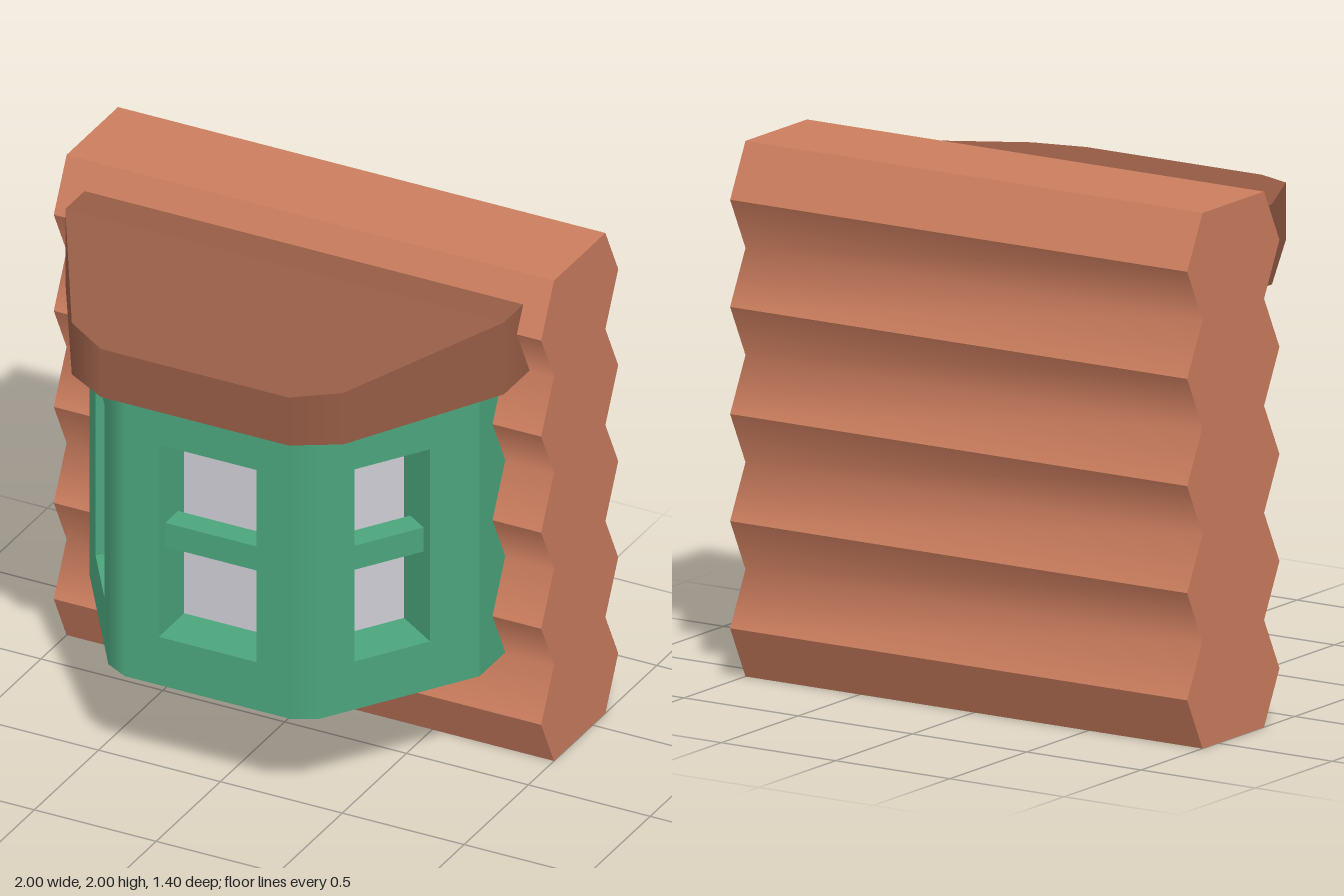
import * as THREE from 'three';

const mat = (name, color) => {
  const m = new THREE.MeshStandardMaterial({ color });
  m.name = name;
  return m;
};

// surface made of two matching rows of points, a[i] below/right of b[i]
function strip(a, b, normals) {
  const pos = [], idx = [], nor = [];
  a.forEach((p, i) => {
    pos.push(...p, ...b[i]);
    if (normals) nor.push(...normals[i], ...normals[i]);
    if (i) {
      const k = 2 * i;
      idx.push(k - 1, k - 2, k, k - 1, k, k + 1);
    }
  });
  const g = new THREE.BufferGeometry();
  g.setAttribute('position', new THREE.Float32BufferAttribute(pos, 3));
  g.setIndex(idx);
  if (normals) g.setAttribute('normal', new THREE.Float32BufferAttribute(nor, 3));
  else g.computeVertexNormals();
  return g;
}

// upright band along floor-plan points [x, z, nx, nz], listed from +x round the front to -x
function skirt(points, y0, topAt) {
  return strip(
    points.map(([x, z]) => [x, y0, z]).reverse(),
    points.map(([x, z]) => [x, topAt(z), z]).reverse(),
    points.map(([, , nx, nz]) => [nx, 0, nz]).reverse()
  );
}

const mirror = (points) => points.map(([x, z, nx, nz]) => [-x, z, -nx, nz]).reverse();
const planShape = (points) => new THREE.Shape(points.map(([x, z]) => new THREE.Vector2(x, z)));

export function createModel() {
  const model = new THREE.Group();
  const brick = mat('terracotta', 0xcb7d5e);
  const roofBrown = mat('roof brown', 0x965c45);
  const green = mat('bay green', 0x4ba57d);
  const glass = mat('pale glass', 0xcecdd4);

  const add = (parent, name, geo, material) => {
    const m = new THREE.Mesh(geo, material);
    m.name = name;
    parent.add(m);
    return m;
  };
  const group = (name, parent = model) => {
    const g = new THREE.Group();
    g.name = name;
    parent.add(g);
    return g;
  };

  // Ridged wall: creased ridges, soft valleys
  const wall = group('wall');
  const board = (name, profile) => add(wall, name, strip(
    profile.map(([y, z]) => [1, y, z]), profile.map(([y, z]) => [-1, y, z])), brick);
  const front = [], back = [];
  for (let i = 0; i <= 10; i++) {
    const out = i % 2 ? 0.1 : 0;
    front.push([i * 0.2, -0.2 + out]);
    back.push([i * 0.2, -0.6 - out]);
  }
  const cuts = [0, 1, 3, 5, 7, 9, 10];
  for (let i = 0; i < cuts.length - 1; i++) {
    const [lo, hi] = [cuts[i], cuts[i + 1] + 1];
    board('frontBoard', front.slice(lo, hi));
    board('backBoard', back.slice(lo, hi).reverse());
  }
  board('wallTop', [[2, -0.2], [2, -0.6]]);
  board('wallBottom', [[0, -0.6], [0, -0.2]]);
  const outline = [...front, ...[...back].reverse()];
  for (const s of [1, -1]) {
    const shape = new THREE.Shape(outline.map(([y, z]) => new THREE.Vector2(-s * z, y)));
    const end = new THREE.ShapeGeometry(shape);
    end.rotateY(s * Math.PI / 2).translate(s, 0, 0);
    add(wall, 'wallEnd', end, brick);
  }

  // Bay: three panels with recessed windows
  const bay = group('bay');
  function panel(name, x0, x1, halfWindow, hasBar) {
    const g = group(name, bay);
    const rect = (C, a, b, lo, hi) => new C([[a, lo], [b, lo], [b, hi], [a, hi]]
      .map(([x, y]) => new THREE.Vector2(x, y)));
    const shape = rect(THREE.Shape, x0, x1, 0.4, 1.6);
    shape.holes.push(rect(THREE.Path, -halfWindow, halfWindow, 0.6, 1.4));
    const frame = new THREE.ExtrudeGeometry(shape, { depth: 0.2, bevelEnabled: false });
    add(g, 'windowFrame', frame.translate(0, 0, -0.2), green);
    const pane = new THREE.PlaneGeometry(2 * halfWindow, 0.8);
    add(g, 'windowPane', pane.translate(0, 1, -0.198), glass);
    if (hasBar) {
      const bar = new THREE.BoxGeometry(2 * halfWindow, 0.1, 0.1);
      add(g, 'windowBar', bar.translate(0, 1, -0.1), green);
    }
    return g;
  }
  panel('frontPanel', -0.34, 0.34, 0.2, true).position.z = 0.6;
  const angle = Math.atan2(0.6, 0.4);
  const leftPanel = panel('leftPanel', -0.3, 0.3606, 0.156, true);
  leftPanel.position.set(0.6, 0, 0.3);
  leftPanel.rotation.y = angle;
  const rightPanel = panel('rightPanel', -0.3606, 0.3, 0.156, false);
  rightPanel.position.set(-0.6, 0, 0.3);
  rightPanel.rotation.y = -angle;

  // Bay returns, softened corners and underside
  const sideN = [Math.sin(angle), Math.cos(angle)];
  const returnWall = [[0.8, -0.2, 1, 0], [0.8, 0, 1, 0]];
  const corner = [[0.4335, 0.55, ...sideN], [0.34, 0.6, 0, 1]];
  for (const f of [(p) => p, mirror]) {
    add(bay, 'bayReturn', skirt(f(returnWall), 0.4, () => 1.6), green);
    add(bay, 'bayCorner', skirt(f(corner), 0.4, () => 1.6), green);
  }
  const bayHalf = [...returnWall, ...corner];
  const floor = new THREE.ShapeGeometry(planShape([...bayHalf, ...mirror(bayHalf)]));
  add(bay, 'bayFloor', floor.rotateX(Math.PI / 2).translate(0, 0.4, 0), green);

  // Roof: level at the wall, sloping down to the front
  const roof = group('roof');
  const topAt = (z) => 1.9 - Math.max(0, z) / 7;
  const roofN = [0.868, 0.496];
  const roofHalf = [[0.9, -0.2, 1, 0], [0.9, 0, ...roofN], [0.557, 0.6, ...roofN], [0.385, 0.7, 0, 1]];
  const roofPlan = [...roofHalf, ...mirror(roofHalf)];
  add(roof, 'roofEdge', skirt(roofPlan, 1.6, topAt), roofBrown);
  const under = new THREE.ShapeGeometry(planShape(roofPlan));
  add(roof, 'roofUnderside', under.rotateX(Math.PI / 2).translate(0, 1.6, 0), roofBrown);
  // each cross row of the top runs from +x to -x, front to back
  const rows = [...roofHalf].reverse();
  for (let i = 0; i < rows.length - 1; i++) {
    const pair = [rows[i], rows[i + 1]];
    add(roof, 'roofTop', strip(
      pair.map(([x, z]) => [x, topAt(z), z]),
      pair.map(([x, z]) => [-x, topAt(z), z])), roofBrown);
  }
  return model;
}
